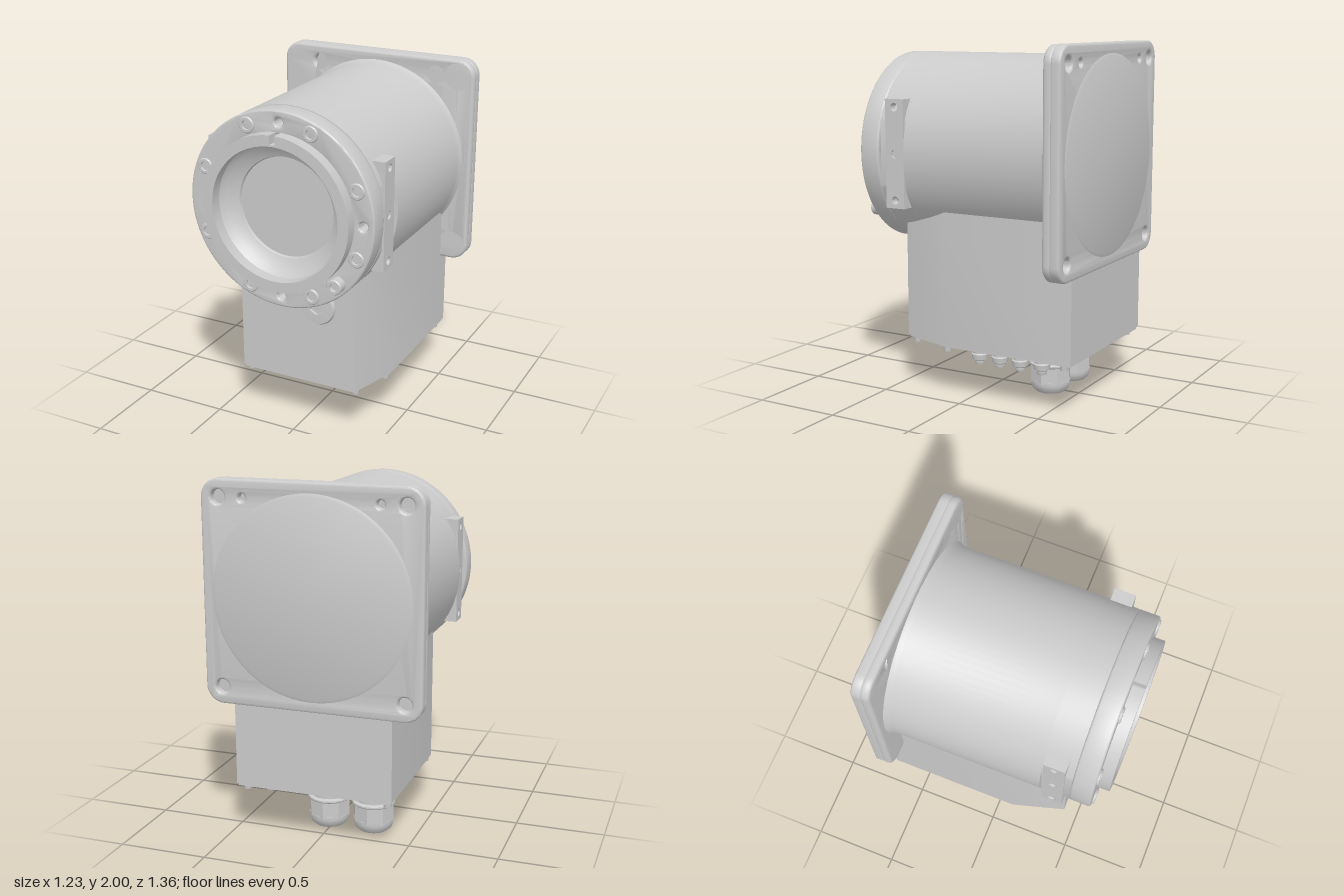
import * as THREE from 'three';
import { toCreasedNormals } from 'three/addons/utils/BufferGeometryUtils.js';

const CY = 1.385; // height of the barrel axis
const grey = new THREE.MeshStandardMaterial({ color: 0xcccccc });
const greyDouble = new THREE.MeshStandardMaterial({ color: 0xcccccc, side: THREE.DoubleSide });

export function createModel() {
  const model = new THREE.Group();

  const add = (name, geo, x = 0, y = 0, z = 0, mat = grey) => {
    const mesh = new THREE.Mesh(toCreasedNormals(geo, 0.6), mat);
    mesh.name = name;
    mesh.position.set(x, y, z);
    model.add(mesh);
    return mesh;
  };
  const lathe = (pts, seg = 32) =>
    new THREE.LatheGeometry(pts.map(([r, h]) => new THREE.Vector2(r, h)), seg);
  // Lathe turned so its axis points to the front
  const latheZ = (pts, seg) => lathe(pts, seg).rotateX(Math.PI / 2);
  const circle = (x, y, r) => new THREE.Path().absarc(x, y, r, 0, Math.PI * 2, true);
  const extrude = (shape, depth, bevel = 0, curveSegments = 32) => {
    const g = new THREE.ExtrudeGeometry(shape, {
      depth: depth - 2 * bevel, curveSegments, bevelEnabled: bevel > 0,
      bevelThickness: bevel, bevelSize: bevel, bevelOffset: -bevel, bevelSegments: 3,
    });
    return g.translate(0, 0, bevel);
  };
  const roundedSquare = (h, r) => {
    const s = new THREE.Shape();
    s.absarc(h - r, h - r, r, 0, Math.PI / 2);
    s.absarc(r - h, h - r, r, Math.PI / 2, Math.PI);
    s.absarc(r - h, r - h, r, Math.PI, Math.PI * 1.5);
    s.absarc(h - r, r - h, r, Math.PI * 1.5, Math.PI * 2);
    return s;
  };

  // Square mounting plate: two layers, the front one with wider counterbores
  const corners = [[1, 1], [-1, 1], [-1, -1], [1, -1]];
  const plateLayer = (holeR, depth, bevel, z) => {
    const s = roundedSquare(0.615, 0.1);
    for (const [a, b] of corners) s.holes.push(circle(a * 0.518, b * 0.518, holeR));
    for (const a of [1, -1]) s.holes.push(circle(a * 0.38, 0.518, holeR * 0.55));
    add('mountingPlate', extrude(s, depth, bevel, 16), 0, CY, z);
  };
  plateLayer(0.04, 0.06, 0.012, -0.675);
  plateLayer(0.06, 0.058, 0.02, -0.63);

  // Round cover on the back of the plate
  add('rearCover', latheZ([[0, -0.682], [0.54, -0.682], [0.56, -0.674], [0.56, -0.64]], 64), 0, CY, 0);

  // Barrel, flared slightly where it meets the plate
  add('barrel', latheZ([[0.57, -0.58], [0.556, -0.555], [0.55, -0.53], [0.55, 0.32], [0, 0.32]], 96), 0, CY, 0);

  // Front end of the barrel, flattened on both sides
  const flat = Math.acos(0.52 / 0.55);
  const neck = new THREE.Shape();
  neck.absarc(0, 0, 0.55, flat, Math.PI - flat);
  neck.absarc(0, 0, 0.55, Math.PI + flat, Math.PI * 2 - flat);
  neck.closePath();
  add('barrelNeck', extrude(neck, 0.175, 0, 48), 0, CY, 0.315);

  // Side brackets with three holes
  for (const side of [1, -1]) {
    const s = new THREE.Shape();
    s.moveTo(-0.06, -0.305); s.lineTo(0.06, -0.305); s.lineTo(0.06, 0.305); s.lineTo(-0.06, 0.305);
    s.closePath();
    for (const y of [-0.26, 0, 0.26]) s.holes.push(circle(0, y, 0.023));
    add('sideBracket', extrude(s, 0.09).translate(0, 0, -0.045).rotateY(Math.PI / 2),
      side * 0.487, CY, 0.39);
  }

  // Front flange with pin holes
  const flange = new THREE.Shape().absarc(0, 0, 0.55, 0, Math.PI * 2);
  flange.holes.push(circle(0, 0, 0.425));
  for (const [x, y] of [[0, 0.487], [0, -0.487], [0.487, 0]]) flange.holes.push(circle(x, y, 0.025));
  add('frontFlange', extrude(flange, 0.12, 0.01, 48), 0, CY, 0.49);

  // Raised ring with a slot at the top
  const ring = new THREE.Shape();
  const d = Math.asin(0.015 / 0.435);
  ring.absarc(0, 0, 0.435, Math.PI / 2 + d, Math.PI * 2.5 - d);
  ring.lineTo(0.015, 0.385);
  ring.lineTo(-0.015, 0.385);
  ring.closePath();
  ring.holes.push(circle(0, 0, 0.375));
  add('windowRing', extrude(ring, 0.09, 0, 48), 0, CY, 0.588);

  // Conical bore and window
  add('windowBore', latheZ([[0, 0.53], [0.28, 0.53], [0.285, 0.545], [0.35, 0.575], [0.376, 0.61], [0.376, 0.67]].reverse(), 64),
    0, CY, 0, greyDouble);

  // Socket screws around the flange
  const screw = () => latheZ([[0.045, 0], [0.045, 0.008], [0.04, 0.013], [0.026, 0.013], [0.022, -0.005], [0, -0.005]], 20);
  for (let i = 0; i < 8; i++) {
    const a = (i + 0.5) * Math.PI / 4;
    add('flangeScrew', screw(), 0.488 * Math.cos(a), CY + 0.488 * Math.sin(a), 0.608);
  }
  add('raisedScrew', latheZ([[0.043, 0], [0.043, 0.055], [0.038, 0.062], [0.024, 0.062], [0.022, 0.04], [0, 0.04]], 20),
    0.345, 1.04, 0.605);

  // Terminal housing below the barrel: front corners taper inward
  const plan = (inset) => {
    const s = new THREE.Shape();
    const w = 0.45 - inset, f = 0.36 - inset;
    s.moveTo(-f, -0.43 + inset); s.lineTo(f, -0.43 + inset); s.lineTo(w, -0.12);
    s.lineTo(w, 0.668 - inset); s.lineTo(-w, 0.668 - inset); s.lineTo(-w, -0.12);
    s.closePath();
    return s;
  };
  add('terminalHousing', extrude(plan(0), 0.76).rotateX(-Math.PI / 2), 0, 0.31, 0);
  add('bottomCover', extrude(plan(0.008), 0.02).rotateX(-Math.PI / 2), 0, 0.295, 0);

  // Round plug with hex socket on the housing front
  add('frontPlug', latheZ([[0.108, 0], [0.108, 0.012], [0.1, 0.025], [0.05, 0.028], [0.045, 0.028]], 40), 0.13, 0.79, 0.425);
  add('frontPlugSocket', latheZ([[0.046, 0.028], [0.046, 0.012], [0, 0.012]], 6), 0.13, 0.79, 0.425);

  // Large cable glands
  for (const x of [-0.24, 0.025]) {
    add('cableGlandNeck', lathe([[0.118, 0.158], [0.122, 0.163], [0.122, 0.172], [0.1, 0.178], [0.1, 0.24], [0.115, 0.243], [0.115, 0.27], [0.09, 0.275], [0.09, 0.3]]), x, 0, -0.33);
    add('cableGlandNut', lathe([[0.118, 0.06], [0.118, 0.165], [0, 0.165]], 8), x, 0, -0.33);
    add('cableGlandCap', lathe([[0, 0.03], [0.06, 0.03], [0.065, 0], [0.085, 0.002], [0.105, 0.02], [0.113, 0.05], [0.113, 0.07], [0, 0.07]]), x, 0, -0.33);
  }

  // Row of small glands
  for (const z of [-0.045, -0.175, -0.305, -0.44]) {
    add('smallGland', lathe([[0, 0.2], [0.026, 0.2], [0.03, 0.212], [0.03, 0.222], [0.044, 0.23], [0.048, 0.26], [0.04, 0.265], [0.04, 0.3]], 16), 0.345, 0, z);
  }

  // Cover screws and drain plug underneath
  const knob = (name, x, z, r, h) =>
    add(name, new THREE.CylinderGeometry(r, r * 0.85, h, 12), x, 0.3 - h / 2, z);
  for (const s of [1, -1]) {
    knob('coverScrew', s * 0.34, 0.38, 0.025, 0.03);
    knob('coverScrew', s * 0.41, 0.13, 0.025, 0.035);
    knob('coverScrew', s * 0.41, -0.61, 0.025, 0.035);
  }
  knob('drainPlug', 0.26, -0.57, 0.05, 0.025);
  for (let i = 0; i < 4; i++) knob('groundScrew', 0.1 - i * 0.12, -0.53, 0.022, 0.03);
  for (const x of [0.1, 0.2]) knob('groundScrew', x, 0.02, 0.022, 0.025);

  return model;
}
